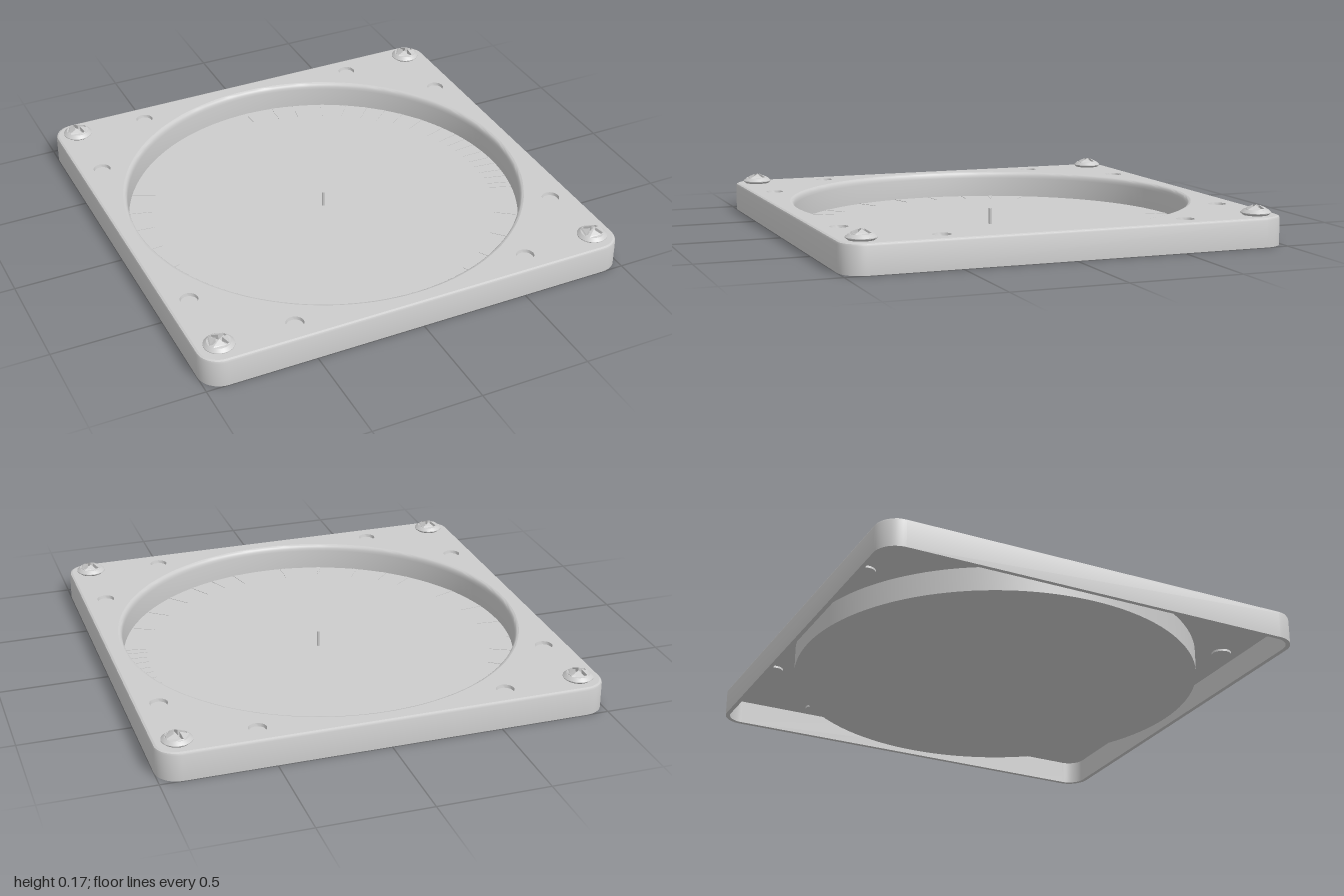
import * as THREE from 'three';
import { toCreasedNormals } from 'three/addons/utils/BufferGeometryUtils.js';

const TOP = 0.13, UNDER = 0.11, BORE = 0.91, CORNER = 0.9;

// Outline of the rounded square, counter-clockwise, for a given half width
function outline(half) {
  const pts = [], r = half - CORNER, n = 10;
  for (let c = 0; c < 4; c++) {
    const mid = Math.PI / 4 + c * Math.PI / 2;
    const cx = Math.sign(Math.cos(mid)) * CORNER, cy = Math.sign(Math.sin(mid)) * CORNER;
    for (let i = 0; i <= n; i++) {
      const a = (c + i / n) * Math.PI / 2;
      pts.push(new THREE.Vector2(cx + r * Math.cos(a), cy + r * Math.sin(a)));
    }
  }
  return pts;
}

// Skin over rounded-square rings given as [half width, height]
function loft(rings) {
  const pos = [], idx = [];
  const n = outline(1).length;
  rings.forEach(([half, y]) => outline(half).forEach(p => pos.push(p.x, y, -p.y)));
  for (let i = 0; i < rings.length - 1; i++) {
    for (let j = 0; j < n; j++) {
      const k = (j + 1) % n, a = i * n + j, b = i * n + k;
      idx.push(a, b, b + n, a, b + n, a + n);
    }
  }
  const g = new THREE.BufferGeometry();
  g.setAttribute('position', new THREE.Float32BufferAttribute(pos, 3));
  g.setIndex(idx);
  return toCreasedNormals(g, 0.6);
}

function lathe(points, segments) {
  const g = new THREE.LatheGeometry(points.map(p => new THREE.Vector2(...p)), segments);
  return toCreasedNormals(g, 0.6);
}

function circleHole(x, y, r, n) {
  const path = new THREE.Path();
  const pts = [];
  for (let i = 0; i < n; i++) {
    const a = -i / n * Math.PI * 2;
    pts.push(new THREE.Vector2(x + r * Math.cos(a), y + r * Math.sin(a)));
  }
  return path.setFromPoints(pts);
}

export function createModel() {
  const group = new THREE.Group();
  const grey = new THREE.MeshStandardMaterial({ color: 0xcccccc });
  grey.name = 'lightGrey';

  function add(name, geometry, parent = group) {
    const mesh = new THREE.Mesh(geometry, grey);
    mesh.name = name;
    parent.add(mesh);
    return mesh;
  }

  // Outer wall, hollow underneath, with a softened top edge
  add('outerWall', loft([[0.98, UNDER], [0.98, 0], [1, 0], [1, 0.118],
    [0.9965, 0.1265], [0.988, TOP]]));

  // Positions of the eight small sockets
  const sockets = [];
  for (const sx of [-1, 1]) for (const sz of [-1, 1]) {
    sockets.push([sx * 0.555, sz * 0.893], [sx * 0.893, sz * 0.555]);
  }

  // Top face with the big opening and the sockets
  const topShape = new THREE.Shape(outline(0.988));
  topShape.holes.push(circleHole(0, 0, 0.93, 120));
  sockets.forEach(([x, z]) => topShape.holes.push(circleHole(x, -z, 0.04, 24)));
  add('topFace', new THREE.ShapeGeometry(topShape).rotateX(-Math.PI / 2).translate(0, TOP, 0));

  // Underside of the top face
  const underShape = new THREE.Shape(outline(0.98));
  underShape.holes.push(circleHole(0, 0, 0.93, 120));
  add('topUnderside', new THREE.ShapeGeometry(underShape).rotateX(Math.PI / 2).translate(0, UNDER, 0));

  // Round bore wall with a rounded lip
  add('boreWall', lathe([[BORE, 0], [0.93, 0], [0.93, UNDER], [0.93, TOP], [0.922, 0.128],
    [0.916, 0.123], [0.912, 0.112], [BORE, 0.1], [BORE, 0]], 120));

  // Flat plate closing the bottom of the bore, with a centre pin
  add('facePlate', new THREE.CylinderGeometry(BORE, BORE, 0.006, 120).translate(0, 0.003, 0));
  add('centrePin', new THREE.CylinderGeometry(0.008, 0.008, 0.075, 12).translate(0, 0.0425, 0));

  // Fine wedge marks around the plate edge, in degrees from +x towards -z
  const marks = [90, 81, 74, 65, 58, 51, 45, 39, 32, 24, 18.5, 14.5, 10.5, 6, 2, -1.5, -5.5, -9,
    -12.5, -15, -30, -42, -54, -64, -72, -80, -96, -108, -120, -130, -138, -155, -169, 179, 168, 159, 149];
  const wedge = new THREE.Shape([[0.8, 0], [0.908, -0.01], [0.908, 0.01]].map(p => new THREE.Vector2(...p)));
  const wedgeGeometry = new THREE.ExtrudeGeometry(wedge, { depth: 0.002, bevelEnabled: false })
    .rotateX(-Math.PI / 2).translate(0, 0.006, 0);
  marks.forEach(a => {
    add('edgeMark', wedgeGeometry).rotation.y = THREE.MathUtils.degToRad(a);
  });

  // Shallow blind sockets
  const socketGeometry = lathe([[0, 0.1], [0.045, 0.1], [0.045, UNDER], [0.04, TOP],
    [0.037, 0.116], [0, 0.116]], 24);
  sockets.forEach(([x, z]) => add('socket', socketGeometry).position.set(x, 0, z));

  // Screw head: domed rim, crown with a cross cut, and the floor of the cut
  const dome = r => 0.175 - 0.033 * (r / 0.067) ** 2;
  const rim = [[0.052, TOP - 0.002], [0.056, TOP], [0.067, 0.139]];
  for (let i = 0; i <= 4; i++) {
    const r = 0.067 - i * 0.015 / 4;
    rim.push([r, dome(r)]);
  }
  const rimGeometry = lathe(rim, 32);

  const crown = new THREE.Shape().absarc(0, 0, 0.052, 0, Math.PI * 2);
  const w = 0.009, l = 0.045;
  const cross = [];
  for (let q = 0; q < 4; q++) {
    for (const [x, y] of [[w, -w], [l, -w], [l, w]]) {
      cross.push(new THREE.Vector2(x, y).rotateAround(new THREE.Vector2(), q * Math.PI / 2));
    }
  }
  crown.holes.push(new THREE.Path(cross));
  const crownGeometry = new THREE.ExtrudeGeometry(crown, { depth: 1, bevelEnabled: false, curveSegments: 16 })
    .rotateX(-Math.PI / 2);
  const p = crownGeometry.attributes.position;
  for (let i = 0; i < p.count; i++) {
    p.setY(i, p.getY(i) > 0.5 ? dome(Math.hypot(p.getX(i), p.getZ(i))) : 0.145);
  }
  crownGeometry.computeVertexNormals();
  const floorGeometry = new THREE.CircleGeometry(0.05, 24).rotateX(-Math.PI / 2).translate(0, 0.15, 0);

  const screws = [[-1, -1, 20], [1, -1, 12], [-1, 1, 32], [1, 1, 35]];
  screws.forEach(([sx, sz, turn]) => {
    const screw = new THREE.Group();
    screw.name = 'screw';
    add('screwRim', rimGeometry, screw);
    add('screwCrown', crownGeometry, screw);
    add('screwCutFloor', floorGeometry, screw);
    screw.position.set(sx * 0.897, 0, sz * 0.897);
    screw.rotation.y = THREE.MathUtils.degToRad(turn);
    group.add(screw);
  });

  return group;
}
